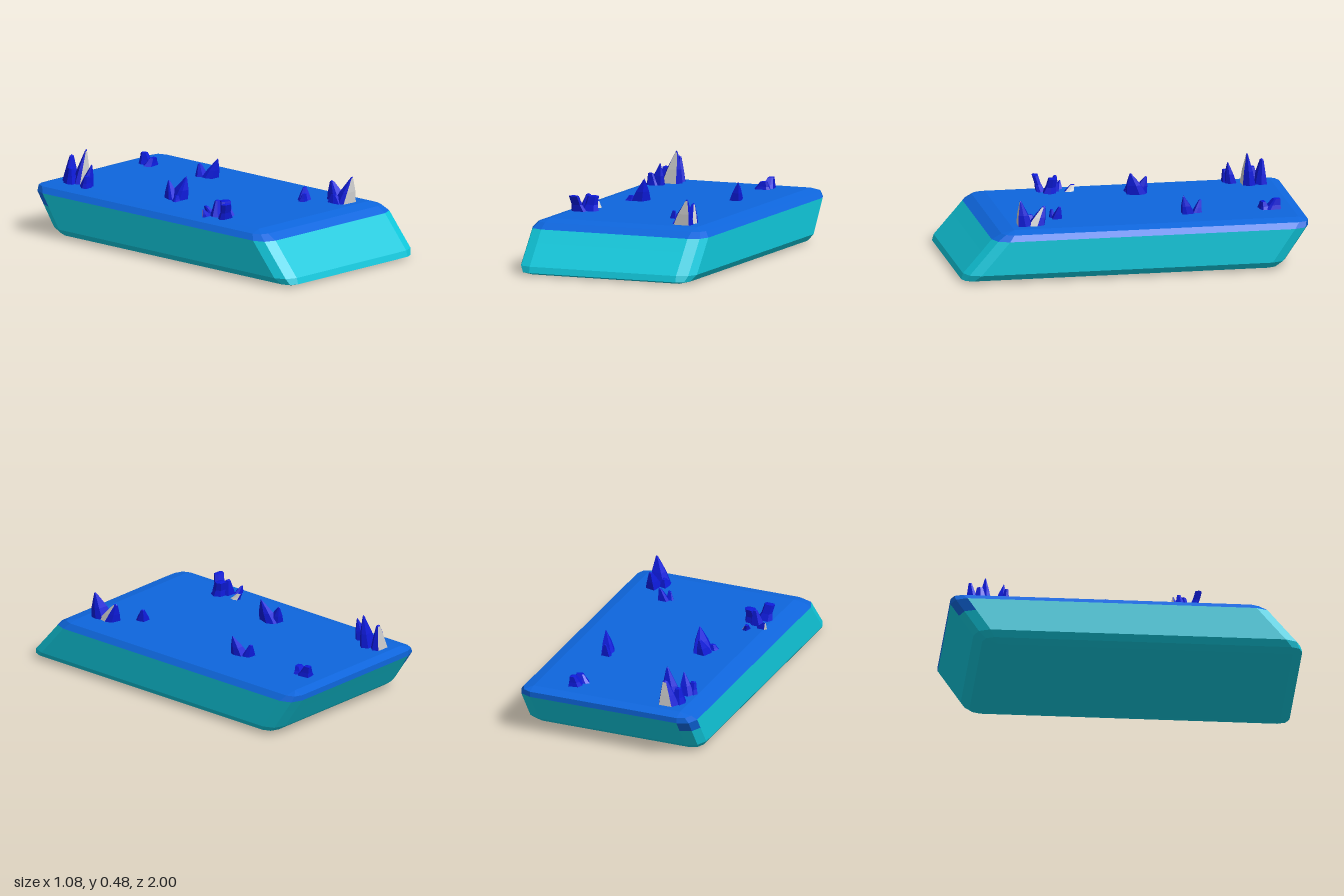
import * as THREE from 'three';

const COLORS = { body: 0x10c8dc, top: 0x0e66dd, crystal: 0x0d1ad8, grey: 0xcccccc };

// Collects triangles per colour and turns each set into a flat shaded mesh
class Facets {
  constructor() { this.sets = {}; }
  tri(color, a, b, c) {
    const area = new THREE.Vector3().subVectors(b, a).cross(new THREE.Vector3().subVectors(c, a)).length();
    if (area < 1e-7) return;
    (this.sets[color] ??= []).push(a, b, c);
  }
  quad(color, b0, t0, t1, b1) {
    this.tri(color, b0, t0, t1);
    this.tri(color, b0, t1, b1);
  }
  addTo(group, names, side = THREE.FrontSide) {
    for (const [color, points] of Object.entries(this.sets)) {
      const geometry = new THREE.BufferGeometry().setFromPoints(points);
      geometry.computeVertexNormals();
      const material = new THREE.MeshStandardMaterial({ color: COLORS[color], flatShading: true, side });
      const mesh = new THREE.Mesh(geometry, material);
      mesh.name = names[color];
      group.add(mesh);
    }
  }
}

// Bevelled slab with leaning ends: rounded rectangles stacked from bottom to top
function createSlab() {
  // height, corner radius, front z, back z
  const sections = [
    [0, 0, 0.94, -0.73],
    [0.015, 0.064, 0.995, -0.82],
    [0.05, 0.09, 0.985, -0.87],
    [0.17, 0.09, 0.88, -0.952],
    [0.24, 0.09, 0.82, -1],
    [0.272, 0.064, 0.765, -1],
    [0.288, 0, 0.69, -0.945],
  ];
  const cornerX = 0.45;
  const rings = sections.map(([y, r, front, back]) => {
    const ring = [];
    for (let corner = 0; corner < 4; corner++) {
      const x = corner === 0 || corner === 3 ? cornerX : -cornerX;
      const z = corner < 2 ? front - r : back + r;
      for (let step = 0; step < 3; step++) {
        const a = (corner + step / 2) * Math.PI / 2;
        ring.push(new THREE.Vector3(x + r * Math.cos(a), y, z + r * Math.sin(a)));
      }
    }
    return ring;
  });
  const facets = new Facets();
  for (let k = 0; k < rings.length - 1; k++) {
    for (let i = 0; i < 12; i++) {
      const j = (i + 1) % 12;
      const cornerPatch = k === 3 && (i === 6 || i === 7);
      facets.quad(k >= 4 || cornerPatch ? 'top' : 'body', rings[k][i], rings[k + 1][i], rings[k + 1][j], rings[k][j]);
    }
  }
  // Flat caps
  const [b0, b1, b2, b3] = [0, 3, 6, 9].map((i) => rings[0][i]);
  facets.quad('body', b0, b1, b2, b3);
  const [t0, t1, t2, t3] = [0, 3, 6, 9].map((i) => rings.at(-1)[i]);
  facets.quad('top', t0, t3, t2, t1);

  const group = new THREE.Group();
  group.name = 'slab';
  facets.addTo(group, { body: 'slabBody', top: 'slabTop' });
  return group;
}

// Leaning six-sided shard: base ring, waist ring, then a tip; greyFaces lists pale sides
function addShard(facets, [x, z, rx, rz, tipX, tipZ, tipY, blunt = 0.1, greyFaces = []]) {
  const sides = 6, floor = 0.28;
  const tip = new THREE.Vector3(tipX, tipY, tipZ);
  const ring = (t, scale) => Array.from({ length: sides }, (_, i) => {
    const a = (i + 0.3 * Math.sin(i * 2.3 + x * 9)) / sides * Math.PI * 2;
    const wobble = scale * (0.95 + 0.09 * Math.sin(i * 4.1 + z * 7));
    return new THREE.Vector3(
      THREE.MathUtils.lerp(x, tipX, t) + rx * wobble * Math.cos(a),
      THREE.MathUtils.lerp(floor, tipY, t),
      THREE.MathUtils.lerp(z, tipZ, t) + rz * wobble * Math.sin(a));
  });
  const levels = [ring(0, 1), ring(0.45, 0.66), ring(0.94, blunt)];
  for (let i = 0; i < sides; i++) {
    const j = (i + 1) % sides;
    const color = greyFaces.includes(i) ? 'grey' : 'crystal';
    for (let k = 0; k < 2; k++) facets.quad(color, levels[k][i], levels[k + 1][i], levels[k + 1][j], levels[k][j]);
    facets.tri('crystal', levels[2][i], tip, levels[2][j]);
  }
}

// Each shard: base x, z, radius x, z, tip x, z, y, bluntness, pale sides
const CLUSTERS = {
  backRightCrystals: [
    [-0.34, -0.80, 0.065, 0.055, -0.305, -0.79, 0.478, 0.12, [1]],
    [-0.35, -0.87, 0.065, 0.05, -0.33, -0.88, 0.435, 0.25, [4]],
    [-0.39, -0.83, 0.045, 0.06, -0.39, -0.83, 0.38, 0.4],
  ],
  backRightSmallCrystals: [
    [-0.39, -0.71, 0.045, 0.05, -0.365, -0.69, 0.415],
    [-0.41, -0.69, 0.04, 0.04, -0.42, -0.68, 0.36, 0.4],
  ],
  backLeftCrystals: [
    [0.235, -0.83, 0.045, 0.07, 0.245, -0.86, 0.352, 0.4],
    [0.22, -0.79, 0.06, 0.045, 0.235, -0.78, 0.335, 0.4],
  ],
  middleLeftCrystals: [
    [0.245, -0.35, 0.045, 0.055, 0.275, -0.315, 0.397],
    [0.235, -0.40, 0.04, 0.04, 0.235, -0.42, 0.36, 0.25],
  ],
  middleRightCrystals: [
    [-0.245, -0.14, 0.06, 0.07, -0.21, -0.10, 0.417],
    [-0.265, -0.16, 0.05, 0.05, -0.25, -0.20, 0.385, 0.15],
    [-0.30, -0.10, 0.035, 0.03, -0.29, -0.10, 0.32, 0.4],
  ],
  frontRightCrystals: [
    [-0.40, 0.38, 0.05, 0.04, -0.425, 0.41, 0.382, 0.65],
    [-0.355, 0.34, 0.055, 0.06, -0.34, 0.32, 0.375, 0.6],
    [-0.39, 0.31, 0.045, 0.05, -0.38, 0.30, 0.38, 0.3],
    [-0.43, 0.27, 0.035, 0.03, -0.455, 0.26, 0.33, 0.2, [3]],
    [-0.355, 0.23, 0.025, 0.045, -0.37, 0.20, 0.325, 0.4, [0, 5]],
  ],
  frontLeftSmallCrystals: [
    [0.225, 0.405, 0.04, 0.045, 0.245, 0.39, 0.36, 0.25],
    [0.195, 0.42, 0.03, 0.03, 0.20, 0.43, 0.335, 0.35],
  ],
  frontLeftCrystals: [
    [0.335, 0.61, 0.07, 0.06, 0.37, 0.64, 0.437, 0.12, [1]],
    [0.35, 0.55, 0.05, 0.07, 0.35, 0.50, 0.395, 0.2, [0]],
    [0.295, 0.59, 0.035, 0.07, 0.295, 0.57, 0.335, 0.3],
  ],
};

export function createModel() {
  const model = new THREE.Group();
  model.name = 'crystalSlab';
  model.add(createSlab());
  for (const [name, shards] of Object.entries(CLUSTERS)) {
    const group = new THREE.Group();
    group.name = name;
    const facets = new Facets();
    shards.forEach((shard) => addShard(facets, shard));
    facets.addTo(group, { crystal: 'crystalShards', grey: 'paleFacets' }, THREE.DoubleSide);
    model.add(group);
  }
  return model;
}
